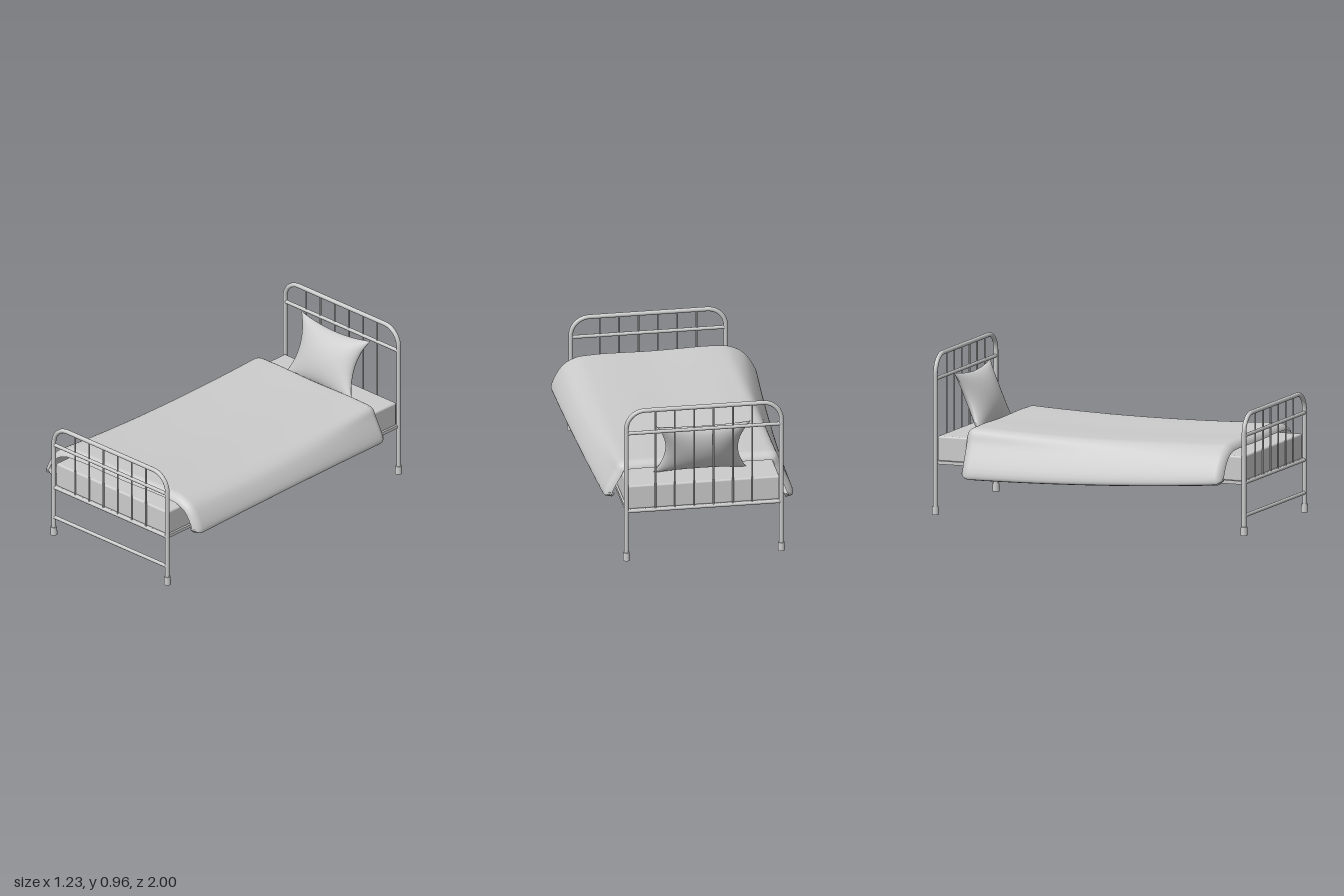
import * as THREE from 'three';
import { RoundedBoxGeometry } from 'three/addons/geometries/RoundedBoxGeometry.js';

const CX = 0.01, HALF = 0.46, END_Z = 0.979;
const material = new THREE.MeshStandardMaterial({ color: 0xcccccc, roughness: 0.8 });
const sheetMaterial = new THREE.MeshStandardMaterial({ color: 0xcccccc, roughness: 0.9, side: THREE.DoubleSide });
const V = (x, y, z = 0) => new THREE.Vector3(x, y, z);

function add(parent, name, geometry, x = 0, y = 0, z = 0, mat = material) {
  const mesh = new THREE.Mesh(geometry, mat);
  mesh.name = name;
  mesh.position.set(x, y, z);
  parent.add(mesh);
  return mesh;
}

// One end of the bedstead: bent tube, cross rails, spindles and foot caps
function bedEnd(name, top, railHeights) {
  const end = new THREE.Group();
  end.name = name;
  const R = 0.11, k = R * 0.45;
  const path = new THREE.CurvePath();
  path.add(new THREE.LineCurve3(V(-HALF, 0.01), V(-HALF, top - R)));
  path.add(new THREE.CubicBezierCurve3(V(-HALF, top - R), V(-HALF, top - k), V(-HALF + k, top), V(-HALF + R, top)));
  path.add(new THREE.LineCurve3(V(-HALF + R, top), V(HALF - R, top)));
  path.add(new THREE.CubicBezierCurve3(V(HALF - R, top), V(HALF - k, top), V(HALF, top - k), V(HALF, top - R)));
  path.add(new THREE.LineCurve3(V(HALF, top - R), V(HALF, 0.01)));
  add(end, 'bentTube', new THREE.TubeGeometry(path, 140, 0.0135, 14));

  for (const y of railHeights) {
    add(end, 'crossRail', new THREE.CylinderGeometry(0.011, 0.011, HALF * 2, 12).rotateZ(Math.PI / 2), 0, y);
  }
  const spindleLength = top - 0.31;
  for (let i = 0; i < 6; i++) {
    add(end, 'spindle', new THREE.CylinderGeometry(0.005, 0.005, spindleLength, 10), (i - 2.5) * 0.115, 0.31 + spindleLength / 2);
  }
  for (const s of [-1, 1]) {
    add(end, 'footCap', new THREE.CylinderGeometry(0.019, 0.021, 0.05, 18), s * HALF, 0.025);
  }
  return end;
}

// Smooth value through three stations along the bed: head, middle, foot
function along(t, head, mid, foot) {
  return mid + (foot - head) / 2 * t + ((foot + head) / 2 - mid) * t * t;
}

// Cross-section of the draped cover at a station t (-1 head, 1 foot)
function coverSection(t) {
  const top = 0.512 + 0.019 * t * t;
  const lx = along(t, -0.56, -0.578, -0.615), ly = along(t, 0.235, 0.255, 0.31);
  const rx = along(t, 0.565, 0.602, 0.612), ry = along(t, 0.312, 0.333, 0.323);
  return new THREE.CatmullRomCurve3([
    V(lx + 0.045, ly - 0.005), V(lx, ly + 0.012), V(lx + 0.07, ly + (top - ly) * 0.7),
    V(-0.455, top - 0.012), V(-0.35, top), V(0, top - 0.004), V(0.36, top), V(0.47, top - 0.012),
    V(rx - 0.06, ry + (top - ry) * 0.7), V(rx, ry + 0.012), V(rx - 0.045, ry - 0.005),
  ]);
}

// Loose cover whose two ends curl inwards
function coverGeometry() {
  const nu = 72, nv = 50, curlRows = 8, r = 0.055;
  const g = new THREE.PlaneGeometry(2, 2, nu, nv);
  const p = g.attributes.position;
  for (let j = 0; j <= nv; j++) {
    // Row 0 lies at the head; rows near each end follow a quarter-round
    const fromEnd = Math.min(j, nv - j);
    const atHead = j < nv / 2;
    const a = Math.max(0, 1 - fromEnd / curlRows) * 1.3;
    const flat = THREE.MathUtils.clamp((j - curlRows) / (nv - 2 * curlRows), 0, 1);
    const curl = r * Math.sin(a) * (atHead ? -1 : 1);
    const inset = r * (1 - Math.cos(a));
    const t = flat * 2 - 1;
    const section = coverSection(t);
    for (let i = 0; i <= nu; i++) {
      const q = section.getPoint(i / nu), d = section.getTangent(i / nu);
      const footShift = -0.012 * (q.x / 0.6) * Math.max(0, t);
      const z = THREE.MathUtils.lerp(-0.727, 0.835, flat) + curl + footShift;
      p.setXYZ((nv - j) * (nu + 1) + i, q.x + d.y * inset, q.y - d.x * inset, z);
    }
  }
  // Rows run from foot to head, so restore the upward winding
  g.setIndex(Array.from(g.index.array).reverse());
  g.computeVertexNormals();
  if (g.attributes.normal.getY(Math.floor(nv / 2) * (nu + 1) + nu / 2) < 0) {
    g.setIndex(Array.from(g.index.array).reverse());
    g.computeVertexNormals();
  }
  return g;
}

// One plump face of the pillow, with pinched sides and pointed corners
function pillowFace() {
  const g = new THREE.PlaneGeometry(2, 2, 32, 32);
  const p = g.attributes.position;
  for (let i = 0; i < p.count; i++) {
    const u = Math.sin(p.getX(i) * Math.PI / 2), v = Math.sin(p.getY(i) * Math.PI / 2);
    const puff = Math.max(0, (1 - u * u) * (1 - v * v));
    p.setXYZ(i,
      0.28 * u * (1 - 0.23 * (1 - v * v)),
      0.195 * v * (1 - 0.16 * (1 - u * u)),
      0.072 * Math.pow(puff, 0.55));
  }
  g.computeVertexNormals();
  return g;
}

export function createModel() {
  const bed = new THREE.Group();
  bed.name = 'bed';

  // Bedstead ends
  const headboard = bedEnd('headboard', 0.945, [0.31, 0.805]);
  headboard.position.set(CX, 0, -END_Z);
  const footboard = bedEnd('footboard', 0.712, [0.115, 0.31, 0.59]);
  footboard.position.set(CX, 0, END_Z);
  bed.add(headboard, footboard);

  // Base and mattress
  add(bed, 'bedBase', new THREE.BoxGeometry(0.925, 0.02, 1.95), CX, 0.31, 0);
  add(bed, 'mattress', new RoundedBoxGeometry(0.905, 0.15, 1.94, 3, 0.012), CX, 0.391, 0);

  // Bedding
  add(bed, 'cover', coverGeometry(), 0, 0, 0, sheetMaterial);
  const pillow = new THREE.Group();
  pillow.name = 'pillow';
  add(pillow, 'pillowFront', pillowFace());
  add(pillow, 'pillowBack', pillowFace().rotateY(Math.PI));
  pillow.position.set(0.003, 0.638, -0.86);
  pillow.rotation.x = -0.4;
  bed.add(pillow);

  return bed;
}
